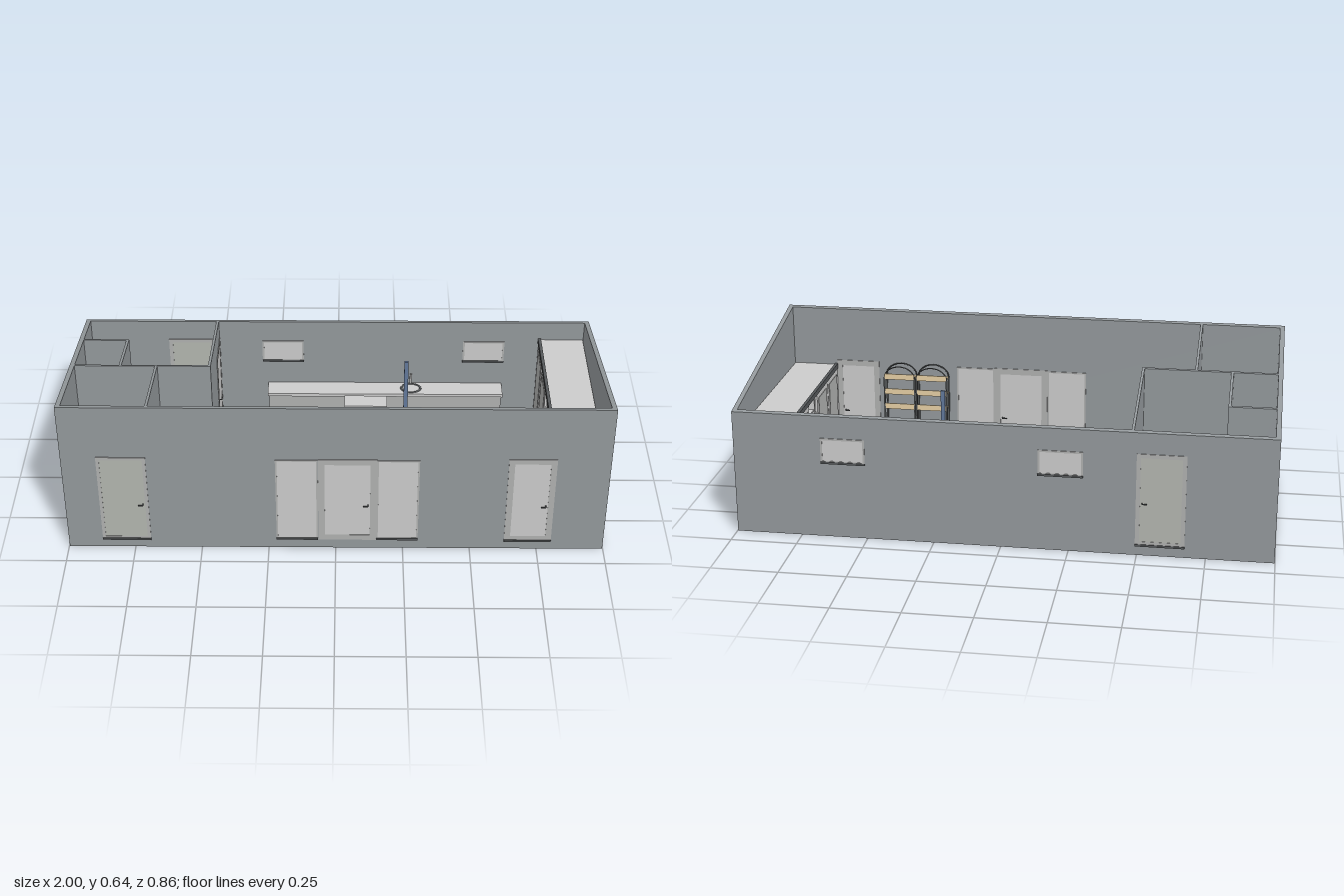
import * as THREE from 'three';

const WALL = 0x94999c, LIGHT = 0xcccccc, FRAME = 0xb0b1b0, GREEN = 0xb3b6af, DARK = 0x55585a, TAN = 0xe6cfa4, BLUE = 0x62799c;
const X = 0.998, Z = 0.415, T = 0.018, FLOOR = 0.03;
const mats = {};
const mat = (c) => (mats[c] ??= new THREE.MeshStandardMaterial({ color: c, side: THREE.DoubleSide }));
const roof = (z) => 0.5575 + 0.1988 * z;

function add(parent, name, geo, color = LIGHT) {
  const m = new THREE.Mesh(geo, mat(color));
  m.name = name;
  parent.add(m);
  return m;
}

function box(parent, name, x0, x1, y0, y1, z0, z1, color) {
  const m = add(parent, name, new THREE.BoxGeometry(x1 - x0, y1 - y0, z1 - z0), color);
  m.position.set((x0 + x1) / 2, (y0 + y1) / 2, (z0 + z1) / 2);
  return m;
}

// Wall whose top follows the sloping roof line
function wall(parent, name, x0, x1, z0, z1, y0 = 0) {
  const g = new THREE.BoxGeometry(x1 - x0, 1, z1 - z0);
  g.translate((x0 + x1) / 2, 0, (z0 + z1) / 2);
  const p = g.attributes.position;
  for (let i = 0; i < p.count; i++) p.setY(i, p.getY(i) > 0 ? roof(p.getZ(i)) : y0);
  g.computeVertexNormals();
  return add(parent, name, g, WALL);
}

// Framed panel set through a wall: centre (x, z), turned by ry; side = handle side
function opening(parent, name, { x, z, w, y0, y1, ry = 0, b = 0.015, t = T, frame = FRAME, pane = LIGHT, side = 0, sill = 0 }) {
  const g = new THREE.Group();
  g.name = name;
  g.position.set(x, 0, z);
  g.rotation.y = ry;
  parent.add(g);
  const h = w / 2, d = t / 2 + 0.003, e = t / 2 + 0.0015;
  box(g, 'pane', -h + b, h - b, y0 + b, y1 - b, -e, e, pane);
  for (const s of [-1, 1]) box(g, 'jamb', s * (h - b / 2) - b / 2, s * (h - b / 2) + b / 2, y0, y1, -d, d, frame);
  box(g, 'head', -h + b, h - b, y1 - b, y1, -d, d, frame);
  box(g, 'bottomRail', -h + b, h - b, y0, y0 + b, -d, d, frame);
  if (sill) box(g, 'sill', -h, h, y0 - 0.004, y0 + 0.004, -d - 0.003, d + 0.003, DARK);
  if (side) for (const s of [-1, 1]) {
    const hx = side * (h - b - 0.008);
    box(g, 'handleStem', hx - 0.002, hx + 0.002, 0.203, 0.207, s * d - 0.008, s * d + 0.008, DARK);
    box(g, 'handleLever', hx - (side > 0 ? 0.018 : 0), hx + (side > 0 ? 0 : 0.018), 0.203, 0.207, s * (d + 0.008) - 0.002, s * (d + 0.008) + 0.002, DARK);
  }
}

function basin(parent, x, z, dx) {
  const g = new THREE.Group();
  g.name = 'washBasin';
  g.position.set(x, 0, z);
  parent.add(g);
  const pts = [[0.012, FLOOR], [0.012, 0.13], [0.03, 0.165], [0.031, 0.17], [0.026, 0.17], [0.018, 0.155], [0, 0.15]];
  add(g, 'bowl', new THREE.LatheGeometry(pts.map((p) => new THREE.Vector2(...p)), 24));
  const tap = add(g, 'tap', new THREE.TorusGeometry(0.01, 0.003, 8, 12, Math.PI), FRAME);
  tap.position.set(dx * 0.02, 0.17, 0);
}

// Toilet with its tank against the partition; dir is the way it faces along z
function toilet(parent, x, z, dir) {
  const g = new THREE.Group();
  g.name = 'toilet';
  g.position.set(x, 0, z);
  parent.add(g);
  box(g, 'tank', -0.034, 0.034, 0.07, 0.16, -0.015, 0.015, LIGHT);
  const pts = [[0.6, FLOOR], [0.5, 0.06], [0.95, 0.098], [1, 0.104], [0, 0.106]];
  const bowl = add(g, 'bowl', new THREE.LatheGeometry(pts.map(([r, y]) => new THREE.Vector2(r * 0.031, y)), 28));
  bowl.scale.z = 1.45;
  bowl.position.z = dir * 0.058;
}

export function createModel() {
  const root = new THREE.Group();
  root.name = 'building';

  // Floor and outer walls
  box(root, 'floor', -X + T, X - T, 0.006, FLOOR, -Z + T, Z - T, WALL);
  wall(root, 'frontWall', -X, X, Z - T, Z);
  wall(root, 'backWall', -X, X, -Z, -Z + T);
  for (const s of [-1, 1]) wall(root, 'endWall', s * (X - T / 2) - T / 2, s * (X - T / 2) + T / 2, -Z + T, Z - T);

  // Inner partitions: x0, x1, z0, z1
  for (const p of [
    [-0.481, -0.471, -0.398, 0.045], [-0.98, -0.481, 0.035, 0.045], [-0.68, -0.67, 0.045, 0.398],
    [-0.98, -0.805, -0.211, -0.201], [-0.815, -0.805, -0.201, 0.035],
  ]) wall(root, 'partition', ...p, FLOOR);

  // Front doors and windows
  const zf = Z - T / 2, zb = -zf;
  opening(root, 'frontDoor', { x: -0.78, z: zf, w: 0.18, y0: 0.04, y1: 0.42, frame: FRAME, pane: GREEN, b: 0.012, side: 1, sill: 1 });
  opening(root, 'frontDoor', { x: 0.715, z: zf, w: 0.175, y0: 0.04, y1: 0.42, b: 0.022, side: 1, sill: 1 });
  opening(root, 'mainDoor', { x: 0.043, z: zf, w: 0.215, y0: 0.04, y1: 0.415, b: 0.024, side: 1 });
  for (const x of [-0.143, 0.228]) opening(root, 'tallWindow', { x, z: zf, w: 0.155, y0: 0.045, y1: 0.412, b: 0.006, sill: 1 });

  // Back door, back windows and end windows
  opening(root, 'backDoor', { x: -0.583, z: zb, w: 0.18, y0: 0.04, y1: 0.395, pane: GREEN, side: 1, sill: 1 });
  for (const x of [0.585, -0.218]) opening(root, 'backWindow', { x, z: zb, w: 0.165, y0: 0.295, y1: 0.39, b: 0.007, sill: 1 });
  for (const z of [-0.078, 0.15]) opening(root, 'endWindow', { x: -X + T / 2, z, w: 0.12, y0: 0.31, y1: 0.395, b: 0.006, ry: Math.PI / 2, t: T - 0.004 });

  // Inner doors
  opening(root, 'innerDoor', { x: -0.476, z: -0.305, w: 0.16, y0: FLOOR, y1: 0.41, ry: Math.PI / 2, t: 0.01, side: -1 });
  opening(root, 'innerDoor', { x: -0.91, z: -0.206, w: 0.13, y0: FLOOR, y1: 0.4, t: 0.01, pane: GREEN, side: 1 });
  opening(root, 'innerDoor', { x: -0.675, z: 0.22, w: 0.15, y0: FLOOR, y1: 0.41, ry: Math.PI / 2, t: 0.01, side: 1 });

  // Washrooms
  toilet(root, -0.9, 0.018, -1);
  toilet(root, -0.9, 0.062, 1);
  basin(root, -0.843, -0.135, 1);
  basin(root, -0.95, 0.295, -1);

  // Wardrobe along the right end: carcass, shelves and doors
  const ward = new THREE.Group();
  ward.name = 'wardrobe';
  root.add(ward);
  box(ward, 'top', 0.812, 0.978, 0.388, 0.4, -0.396, 0.396, LIGHT);
  box(ward, 'backPanel', 0.972, 0.978, FLOOR, 0.388, -0.396, 0.396, FRAME);
  for (const z of [-0.391, -0.06, 0.055, 0.391]) box(ward, 'upright', 0.812, 0.972, FLOOR, 0.388, z - 0.005, z + 0.005, LIGHT);
  for (let i = 0; i < 5; i++) box(ward, 'shelf', 0.815, 0.972, 0.04 + i * 0.07, 0.046 + i * 0.07, -0.055, 0.05, LIGHT);
  box(ward, 'topRail', 0.8, 0.812, 0.385, 0.405, -0.396, 0.396, DARK);
  for (const [a, b] of [[-0.39, -0.23], [-0.225, -0.065], [0.06, 0.222], [0.228, 0.39]]) {
    box(ward, 'door', 0.802, 0.81, 0.04, 0.385, a, b, LIGHT);
    box(ward, 'doorPanel', 0.8, 0.803, 0.06, 0.365, a + 0.02, b - 0.02, FRAME);
  }

  // Back counter with sink
  box(root, 'counterBase', -0.275, 0.66, FLOOR, 0.175, -0.396, -0.325, FRAME);
  box(root, 'counterTop', -0.28, 0.665, 0.175, 0.188, -0.397, -0.315, LIGHT);
  const sink = add(root, 'sinkRim', new THREE.TorusGeometry(0.035, 0.004, 8, 4 * 8), DARK);
  sink.rotation.x = Math.PI / 2;
  sink.scale.set(1.1, 0.85, 1);
  sink.position.set(0.297, 0.188, -0.357);
  box(root, 'sinkTap', 0.293, 0.301, 0.188, 0.235, -0.393, -0.385, FRAME);

  // Stepped serving counters in the middle of the room
  for (const [x0, x1, n] of [[-0.475, 0.028, 3], [0.34, 0.672, 2]]) {
    const w = (x1 - x0) / n;
    for (let i = 0; i < n; i++) {
      const a = x0 + i * w + 0.001, b = x0 + (i + 1) * w - 0.001;
      box(root, 'servingBack', a, b, FLOOR, 0.225, -0.14, -0.083, LIGHT);
      box(root, 'servingFront', a, b, FLOOR, 0.19, -0.083, -0.024, LIGHT);
      box(root, 'servingGlass', a, b, FLOOR, 0.18, -0.024, -0.005, DARK);
    }
  }
  // Tall display cooler
  box(root, 'coolerBody', 0.03, 0.195, FLOOR, 0.3, -0.145, -0.075, LIGHT);
  box(root, 'coolerShelf', 0.032, 0.193, FLOOR, 0.22, -0.075, -0.036, FRAME);
  box(root, 'coolerFront', 0.03, 0.195, FLOOR, 0.12, -0.036, 0.01, DARK);
  // Till stand and post
  box(root, 'tillStand', 0.198, 0.335, FLOOR, 0.19, -0.112, -0.006, LIGHT);
  box(root, 'till', 0.21, 0.275, 0.19, 0.215, -0.095, -0.03, DARK);
  box(root, 'tillScreen', 0.228, 0.258, 0.215, 0.24, -0.07, -0.05, FRAME);
  box(root, 'cardReader', 0.29, 0.31, 0.19, 0.205, -0.075, -0.045, FRAME);
  box(root, 'post', 0.259, 0.275, 0.19, 0.487, -0.112, -0.102, BLUE);

  // Cold cabinet beside the partition
  box(root, 'cabinetBody', -0.637, -0.475, FLOOR, 0.3, 0.052, 0.385, LIGHT);
  box(root, 'cabinetFront', -0.475, -0.464, FLOOR, 0.305, 0.05, 0.388, DARK);

  // Twin arched shelving units
  for (const cx of [0.401, 0.533]) {
    const g = new THREE.Group();
    g.name = 'archedShelves';
    g.position.set(cx, 0, 0.365);
    root.add(g);
    for (const s of [-1, 1]) for (const z of [-0.024, 0.024])
      box(g, 'leg', s * 0.062 - 0.003, s * 0.062 + 0.003, FLOOR, 0.37, z - 0.003, z + 0.003, DARK);
    for (const z of [-0.024, 0.024]) {
      const arch = add(g, 'arch', new THREE.TorusGeometry(0.062, 0.003, 6, 16, Math.PI), DARK);
      arch.position.set(0, 0.37, z);
      arch.scale.y = 0.8;
    }
    for (let i = 0; i < 6; i++) {
      box(g, 'shelfBoard', -0.06, 0.06, 0.05 + i * 0.063, 0.056 + i * 0.063, -0.026, 0.026, TAN);
      box(g, 'shelfLip', -0.06, 0.06, 0.056 + i * 0.063, 0.074 + i * 0.063, -0.027, -0.023, TAN);
    }
  }
  return root;
}
